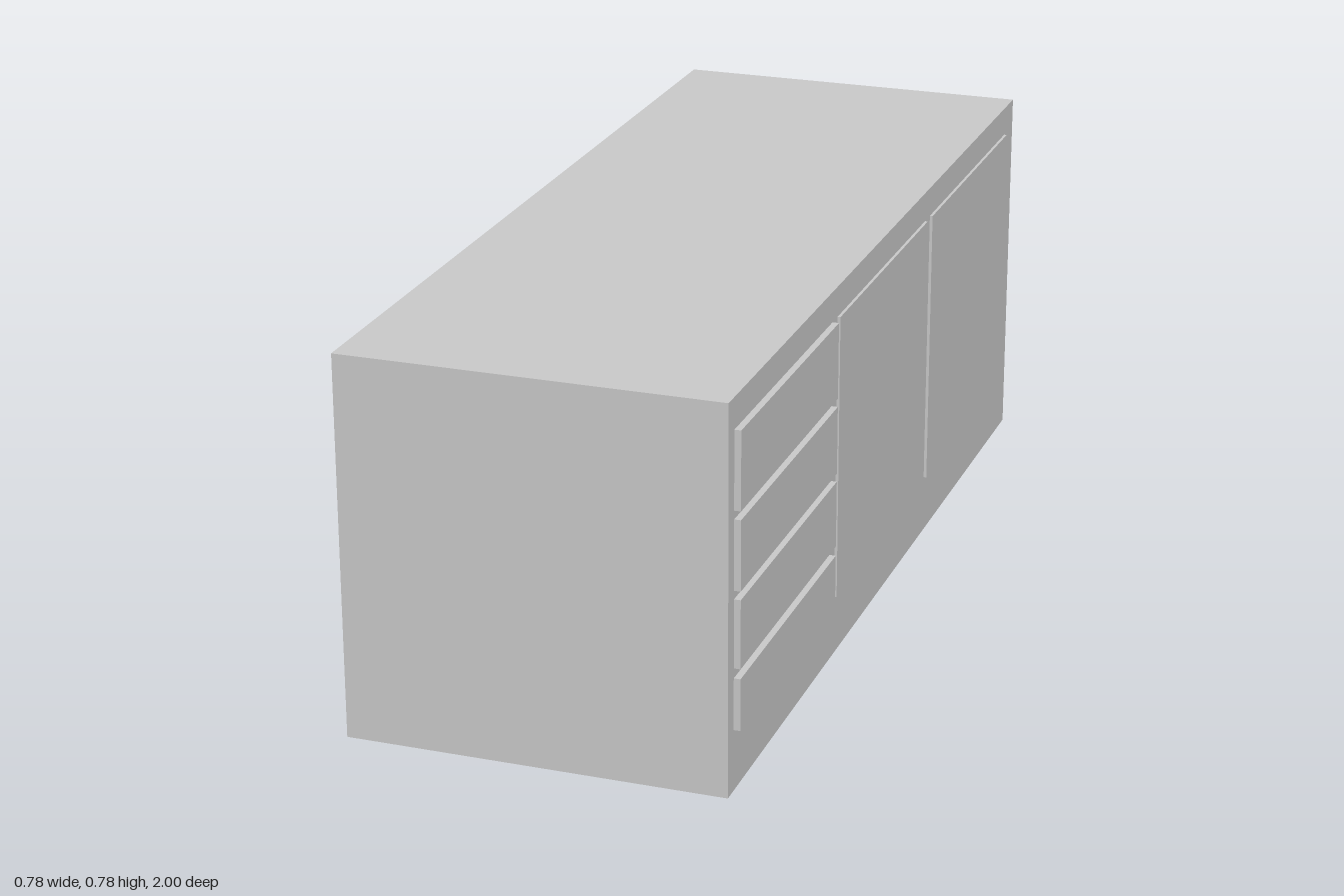
import * as THREE from 'three';

const BACK = -0.39, FRONT = 0.376, HEIGHT = 0.78, HALF = 1;

const material = new THREE.MeshStandardMaterial({ color: 0xcccccc, side: THREE.DoubleSide });

// Thin-walled box spanning two corners, without the listed faces (0 = +x, 1 = -x)
function openBox(min, max, missing) {
  const size = max.map((v, i) => v - min[i]);
  const geometry = new THREE.BoxGeometry(...size);
  geometry.translate(...max.map((v, i) => (v + min[i]) / 2));
  const index = Array.from(geometry.index.array);
  geometry.setIndex(index.filter((_, i) => !missing.includes(Math.floor(i / 6))));
  geometry.clearGroups();
  return geometry;
}

function rectangle(target, u0, u1, v0, v1) {
  target.moveTo(u0, v0);
  target.lineTo(u1, v0);
  target.lineTo(u1, v1);
  target.lineTo(u0, v1);
  target.closePath();
  return target;
}

export function createModel() {
  const group = new THREE.Group();
  group.name = 'sideboard';
  const add = (name, geometry) => {
    const mesh = new THREE.Mesh(geometry, material);
    mesh.name = name;
    group.add(mesh);
  };

  // Drawer and door fronts: z range, y range, and how far each stands out
  const fronts = [
    [0.125, 0.23], [0.25, 0.388], [0.405, 0.545], [0.562, 0.718],
  ].map(([y0, y1], i) => ({ name: `drawer${i + 1}`, z0: 0.38, z1: 0.968, y0, y1, out: 0.013 }));
  [[-0.273, 0.347], [-0.928, -0.31]].forEach(([z0, z1], i) =>
    fronts.push({ name: `door${i + 1}`, z0, z1, y0: 0.125, y1: 0.718, out: 0.006 }));

  // Case: top, bottom and two ends, open at the back
  add('case', openBox([BACK, 0, -HALF], [FRONT, HEIGHT, HALF], [0, 1]));

  // Face frame with an opening behind every drawer and door
  const frame = rectangle(new THREE.Shape(), -HALF, HALF, 0, HEIGHT);
  for (const f of fronts) {
    frame.holes.push(rectangle(new THREE.Path(), -f.z1, -f.z0, f.y0, f.y1));
  }
  add('faceFrame', new THREE.ShapeGeometry(frame).rotateY(Math.PI / 2).translate(FRONT, 0, 0));

  // Raised fronts, hollow from behind
  for (const f of fronts) {
    add(f.name, openBox([FRONT, f.y0, f.z0], [FRONT + f.out, f.y1, f.z1], [1]));
  }

  return group;
}
